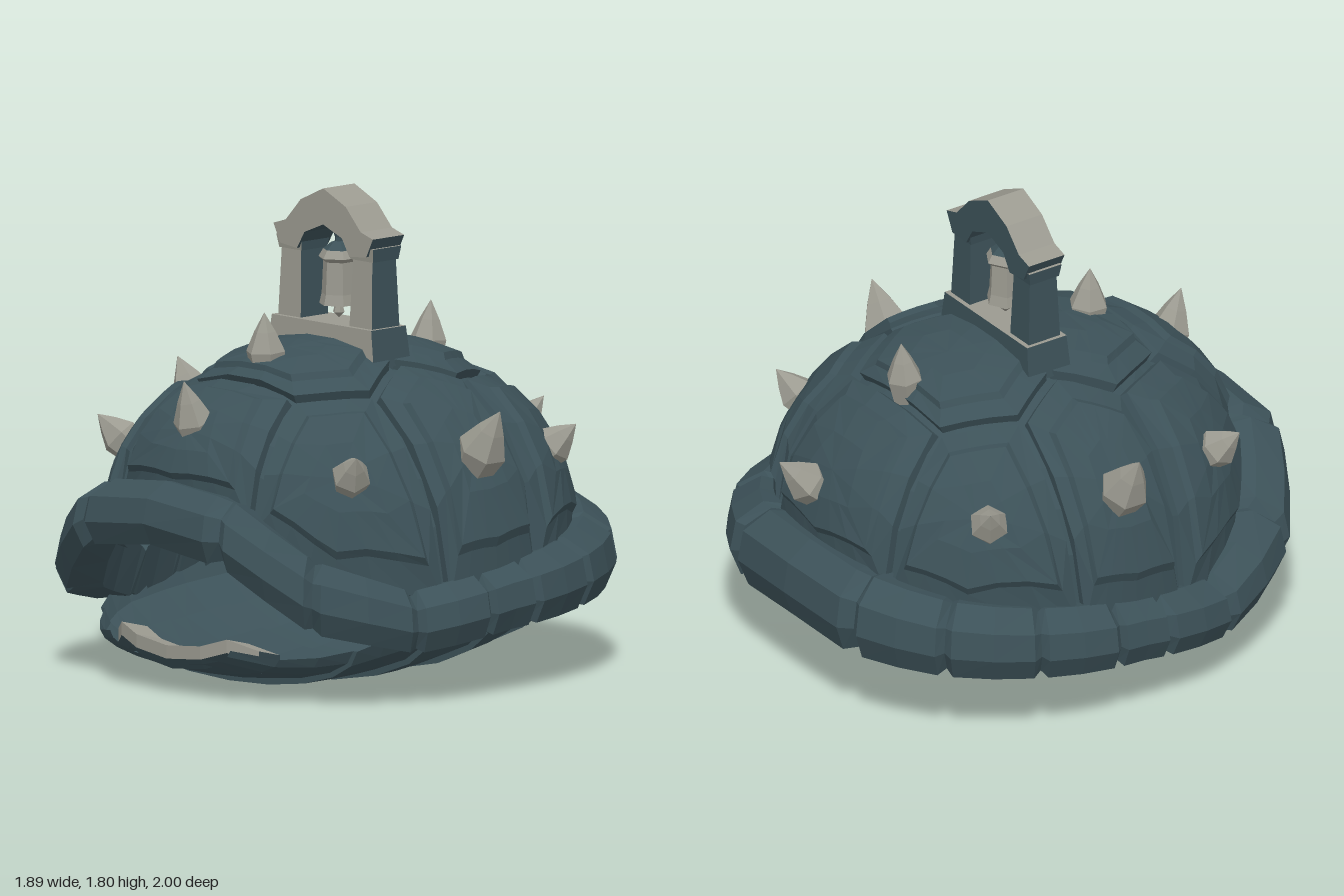
import * as THREE from 'three';

const opts = { flatShading: true, side: THREE.DoubleSide };
const shellTeal = new THREE.MeshStandardMaterial({ color: 0x3c5158, ...opts });
shellTeal.name = 'shellTeal';
const boneGrey = new THREE.MeshStandardMaterial({ color: 0x9b9a90, ...opts });
boneGrey.name = 'boneGrey';

// Piecewise linear lookup in [key, value, value...] rows with rising keys
function lookup(table, k, col = 1) {
  let i = 0;
  while (i < table.length - 2 && k > table[i + 1][0]) i++;
  const a = table[i], b = table[i + 1];
  const t = THREE.MathUtils.clamp((k - a[0]) / (b[0] - a[0]), 0, 1);
  return a[col] + (b[col] - a[col]) * t;
}

// Skin over rows of points
function loft(rows, closed = false) {
  const n = rows[0].length, idx = [];
  for (let i = 0; i < rows.length - 1; i++) {
    for (let j = 0; j < (closed ? n : n - 1); j++) {
      const a = i * n + j, b = i * n + (j + 1) % n;
      idx.push(a, b, a + n, b, b + n, a + n);
    }
  }
  const g = new THREE.BufferGeometry();
  g.setAttribute('position', new THREE.Float32BufferAttribute(rows.flat(2), 3));
  g.setIndex(idx);
  const flat = g.toNonIndexed();
  flat.computeVertexNormals();
  return flat;
}

function add(parent, name, geo, mat) {
  const m = new THREE.Mesh(geo, mat);
  m.name = name;
  parent.add(m);
  return m;
}

// Rim by angle from the front: [angle, bottom, top, outer radius]
const RIM = [[0, 0.57, 0.8, 1], [0.36, 0.53, 0.77, 1.055], [0.71, 0.29, 0.55, 1.05], [1.125, 0.2, 0.42, 0.975],
  [1.57, 0.25, 0.48, 0.94], [2.04, 0.28, 0.53, 0.985], [2.41, 0.3, 0.57, 1.027], [2.77, 0.32, 0.62, 1.04], [Math.PI, 0.34, 0.63, 1]];

// Point on the dome from flattened disc coordinates, raised by lift
function domePoint(px, pz, lift) {
  const rho = Math.max(1e-4, (Math.abs(px) ** 2.1 + Math.abs(pz) ** 2.1) ** (1 / 2.1));
  const c = Math.cos(1.45), r = Math.min(rho, 1);
  const s = 0.82 * Math.sin(1.45 * r) / Math.sin(1.45) / rho;
  const h = Math.max(0, (Math.cos(1.45 * r) - c) / (1 - c)) ** 0.76;
  const yRim = lookup(RIM, Math.abs(Math.atan2(px, pz)), 2) - 0.07;
  const p = new THREE.Vector3(px * s, yRim + (1.2 - yRim) * h, pz * s);
  const dir = p.clone().sub(new THREE.Vector3(0, 0.5, 0)).normalize();
  return p.addScaledVector(dir, lift).toArray();
}

// Stepped plate over a disc polygon
function plate(poly) {
  const edge = [];
  poly.forEach((a, i) => {
    const b = poly[(i + 1) % poly.length];
    for (let k = 0; k < 3; k++) edge.push([a[0] + (b[0] - a[0]) * k / 3, a[1] + (b[1] - a[1]) * k / 3]);
  });
  const cx = edge.reduce((s, p) => s + p[0], 0) / edge.length;
  const cz = edge.reduce((s, p) => s + p[1], 0) / edge.length;
  const rings = [[0.98, -0.04], [0.94, 0.025], [0.74, 0.035], [0.68, 0.055], [0.35, 0.055], [0, 0.05]];
  return loft(rings.map(([k, lift]) =>
    edge.map(([x, z]) => domePoint(cx + (x - cx) * k, cz + (z - cz) * k, lift))), true);
}

function spike(parent, base, tip, r) {
  const a = new THREE.Vector3(...base), d = new THREE.Vector3(...tip).sub(a), L = d.length();
  const profile = [[0.7 * r, -0.06], [r, 0.28 * L], [0.55 * r, 0.65 * L], [0.001, L]];
  const g = new THREE.LatheGeometry(profile.map((p) => new THREE.Vector2(...p)), 6);
  const m = add(parent, 'spike', g, boneGrey);
  m.position.copy(a);
  m.quaternion.setFromUnitVectors(new THREE.Vector3(0, 1, 0), d.normalize());
}

// Bone colour on upward and forward faces, teal on the rest
function twoTone(geo) {
  const g = geo.index ? geo.toNonIndexed() : geo;
  g.computeVertexNormals();
  g.clearGroups();
  const n = g.attributes.normal;
  for (let i = 0; i < n.count; i += 3) g.addGroup(i, 3, n.getZ(i) > 0.5 || n.getY(i) > 0.3 ? 1 : 0);
  return g;
}
const TONES = [shellTeal, boneGrey];

function buildDome(root) {
  const dome = new THREE.Group();
  dome.name = 'dome';
  root.add(dome);
  const rows = [];
  for (let i = 0; i <= 7; i++) {
    rows.push(Array.from({ length: 32 }, (_, j) => {
      const a = j / 32 * Math.PI * 2, s = Math.sin(a), c = Math.cos(a);
      const k = i / 7 / (Math.abs(s) ** 2.1 + Math.abs(c) ** 2.1) ** (1 / 2.1);
      return domePoint(s * k, c * k, -0.01);
    }));
  }
  add(dome, 'domeCore', loft(rows, true), shellTeal);

  // Plates along the spine, then the flank plates on both sides
  for (const f of [1, -1]) {
    add(dome, 'crownPlate', plate([[-0.25, 0], [0.25, 0], [0.36, 0.19 * f], [0.24, 0.43 * f],
      [-0.24, 0.43 * f], [-0.36, 0.19 * f]]), shellTeal);
    add(dome, 'endPlate', plate([[-0.24, 0.43 * f], [0.24, 0.43 * f], [0.43, 0.95 * f],
      [0, 1.03 * f], [-0.43, 0.95 * f]]), shellTeal);
    add(dome, 'sidePlate', plate([[0.25 * f, 0], [0.36 * f, 0.19], [f, 0.27], [1.03 * f, 0],
      [f, -0.27], [0.36 * f, -0.19]]), shellTeal);
    for (const s of [1, -1]) {
      add(dome, 'cornerPlate', plate([[0.36 * s, 0.19 * f], [0.24 * s, 0.43 * f], [0.43 * s, 0.95 * f],
        [0.75 * s, 0.74 * f], [s, 0.27 * f]]), shellTeal);
    }
  }
}

function buildRim(root) {
  const half = [0.36, 0.71, 1.125, 1.465, 1.7, 2.04, 2.41, 2.77];
  const cuts = [-0.36, ...half, ...half.slice().reverse().map((a) => Math.PI * 2 - a)];
  const section = [[0.78, 0.92], [0.88, 1], [0.98, 0.76], [1, 0.36], [0.96, 0], [0.83, 0.08]];
  for (let i = 0; i < cuts.length - 1; i++) {
    const rows = [0, 0.08, 0.5, 0.92, 1].map((t) => {
      const a = cuts[i] + (cuts[i + 1] - cuts[i]) * t;
      const fold = Math.abs(a > Math.PI ? a - Math.PI * 2 : a);
      const s = Math.sin(a), c = Math.cos(a), notch = t === 0 || t === 1;
      const lo = lookup(RIM, fold, 1), hi = lookup(RIM, fold, 2), r = lookup(RIM, fold, 3);
      return section.map(([f, v]) => {
        const k = r * f * (notch && f > 0.85 ? 0.97 : 1);
        return [s * k, lo + (hi - lo) * (notch ? 0.5 + (v - 0.5) * 0.86 : v), c * k];
      });
    });
    add(root, 'rimPlate', loft(rows, true), shellTeal);
  }
}

function buildBelly(root) {
  // [z, half width, keel height, edge height]
  const B = [[-0.86, 0.34, 0.35, 0.47], [-0.7, 0.58, 0.2, 0.42], [-0.5, 0.72, 0.09, 0.39], [-0.2, 0.8, 0.015, 0.35],
    [0.1, 0.82, -0.005, 0.32], [0.4, 0.78, 0.005, 0.27], [0.6, 0.66, 0.02, 0.19], [0.75, 0.5, 0.065, 0.17], [0.86, 0.32, 0.12, 0.2]];
  const bands = [0.86, 0.56, 0.26, -0.05, -0.35, -0.62, -0.86];
  const rows = [];
  for (let i = 0; i < bands.length - 1; i++) {
    for (const t of [0, 0.33, 0.67, 1]) {
      const z = bands[i] + (bands[i + 1] - bands[i]) * t;
      const w = lookup(B, z, 1) * (1 - 0.03 * t), lo = lookup(B, z, 2) + 0.025 * t, hi = lookup(B, z, 3);
      rows.push(Array.from({ length: 11 }, (_, j) => {
        const a = (j / 10 - 0.5) * Math.PI;
        return [w * Math.sin(a), lo + (hi - lo) * (1 - Math.cos(a)), z];
      }));
    }
  }
  add(root, 'belly', loft(rows), shellTeal);

  // Worn lip at the front of the belly
  const lip = [[-0.35, 0.195, 0.79], [-0.28, 0.235, 0.84], [-0.17, 0.205, 0.87], [0, 0.185, 0.88],
    [0.17, 0.2, 0.87], [0.28, 0.235, 0.84], [0.38, 0.195, 0.77]];
  const strip = (o) => lip.map(([x, y, z]) => [x * o[0], y + o[1], z + o[2]]);
  add(root, 'lipEdge', loft([[1, -0.05, 0], [1, 0, 0], [0.96, -0.03, -0.12]].map(strip)), boneGrey);
  add(root, 'lipBody', loft([[0.96, -0.03, -0.12], [0.92, -0.09, -0.14], [0.95, -0.09, -0.03], [1, -0.05, 0]].map(strip)), shellTeal);
}

function buildTower(root) {
  const tower = new THREE.Group();
  tower.name = 'bellTower';
  root.add(tower);
  // Box whose top is scaled by k
  const block = (name, w, h, d, x, y, k) => {
    const g = new THREE.BoxGeometry(w, h, d), p = g.attributes.position;
    for (let i = 0; i < p.count; i++) if (p.getY(i) > 0) p.setXYZ(i, p.getX(i) * k, p.getY(i), p.getZ(i) * k);
    add(tower, name, twoTone(g), TONES).position.set(x, y, 0);
  };
  block('footing', 0.57, 0.14, 0.19, 0, 1.23, 0.93);
  for (const s of [1, -1]) {
    block('pillar', 0.12, 0.28, 0.14, 0.19 * s, 1.44, 0.84);
    block('capital', 0.12, 0.05, 0.13, 0.19 * s, 1.575, 1.12);
  }
  // Gabled arch
  const outer = [[0.23, 1.57], [0.265, 1.64], [0.2, 1.66], [0.12, 1.745], [0, 1.8], [-0.12, 1.745], [-0.2, 1.66], [-0.265, 1.64], [-0.23, 1.57]];
  const inner = [[-0.14, 1.56], [-0.1, 1.625], [0, 1.665], [0.1, 1.625], [0.14, 1.56]];
  const shape = new THREE.Shape([...outer, ...inner].map((p) => new THREE.Vector2(...p)));
  const arch = new THREE.ExtrudeGeometry(shape, { depth: 0.16, bevelEnabled: false }).translate(0, 0, -0.08);
  add(tower, 'arch', twoTone(arch), TONES);
  // Bell with cap and hanger
  const lathe = (name, pts, mat) =>
    add(tower, name, new THREE.LatheGeometry(pts.map((p) => new THREE.Vector2(...p)), 6), mat);
  lathe('bell', [[0.001, 1.35], [0.075, 1.36], [0.066, 1.4], [0.06, 1.52], [0.078, 1.535], [0.06, 1.565]], boneGrey);
  lathe('bellCap', [[0.06, 1.565], [0.03, 1.59], [0.001, 1.6]], shellTeal);
  lathe('bellHanger', [[0.016, 1.56], [0.015, 1.61], [0.04, 1.68]], shellTeal);
  lathe('clapper', [[0.001, 1.31], [0.022, 1.33], [0.012, 1.37]], boneGrey);
}

export function createModel() {
  const root = new THREE.Group();
  root.name = 'spikedShell';
  buildDome(root);
  buildRim(root);
  buildBelly(root);
  buildTower(root);
  // Spikes on the spine, then mirrored pairs
  spike(root, [0, 1.17, 0.37], [0, 1.37, 0.38], 0.075);
  spike(root, [0, 0.95, 0.72], [0, 1.16, 0.79], 0.08);
  spike(root, [0, 1.12, -0.45], [0, 1.32, -0.47], 0.07);
  spike(root, [0.075, 0.78, -0.8], [0.11, 0.92, -0.94], 0.08);
  for (const s of [1, -1]) {
    spike(root, [0.73 * s, 0.85, 0], [0.86 * s, 1.06, 0], 0.095);
    spike(root, [0.59 * s, 0.82, 0.51], [0.69 * s, 0.93, 0.57], 0.075);
    spike(root, [0.59 * s, 0.82, -0.49], [0.69 * s, 0.93, -0.55], 0.075);
  }
  return root;
}
